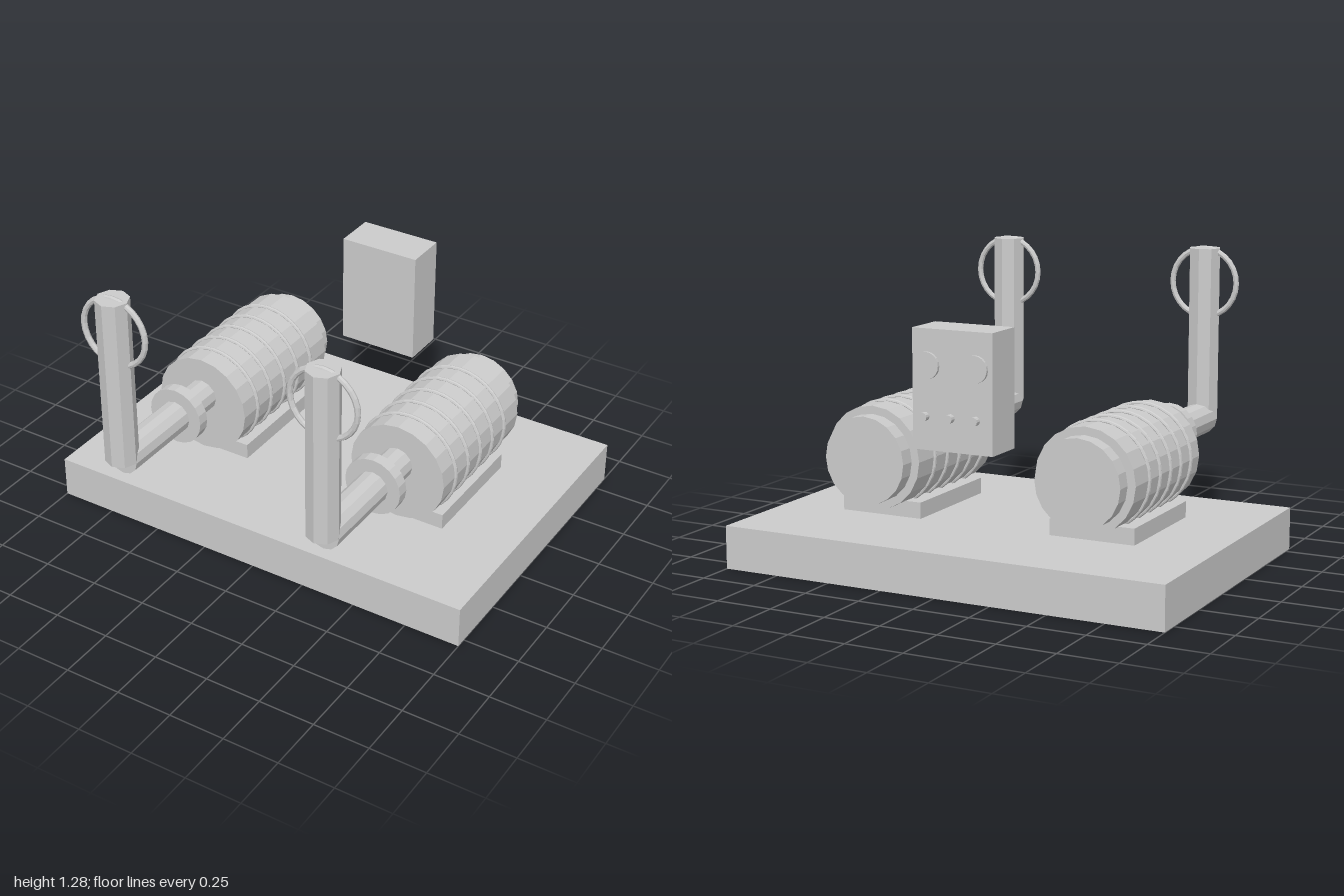
import * as THREE from 'three';

const material = new THREE.MeshStandardMaterial({ color: 0xcccccc, flatShading: true });

function add(parent, name, geometry, x, y, z) {
  const mesh = new THREE.Mesh(geometry, material);
  mesh.name = name;
  mesh.position.set(x, y, z);
  parent.add(mesh);
  return mesh;
}

// Box given by its lower and upper corners
function box(parent, name, [x0, y0, z0], [x1, y1, z1]) {
  return add(parent, name, new THREE.BoxGeometry(x1 - x0, y1 - y0, z1 - z0),
    (x0 + x1) / 2, (y0 + y1) / 2, (z0 + z1) / 2);
}

// Cylinder lying along z
function zCylinder(parent, name, radius, z0, z1, x, y, sides) {
  const geometry = new THREE.CylinderGeometry(radius, radius, z1 - z0, sides).rotateX(Math.PI / 2);
  return add(parent, name, geometry, x, y, (z0 + z1) / 2);
}

function createPump() {
  const pump = new THREE.Group();
  pump.name = 'pump';

  // Motor on its mounting foot
  box(pump, 'mountingFoot', [-0.19, 0.2, -0.41], [0.19, 0.27, 0.125]);
  zCylinder(pump, 'motorBody', 0.223, -0.475, 0.185, 0, 0.458, 20);
  zCylinder(pump, 'motorEndCap', 0.189, -0.548, -0.478, 0, 0.458, 20);
  for (let i = 0; i < 5; i++) {
    add(pump, 'coolingRib', new THREE.TorusGeometry(0.224, 0.009, 8, 32), 0, 0.458, -0.344 + i * 0.1075);
  }

  // Outlet pipe, flange and upright riser
  zCylinder(pump, 'outletPipe', 0.072, 0.185, 0.765, 0, 0.504, 12);
  zCylinder(pump, 'flange', 0.13, 0.335, 0.387, 0, 0.504, 20);
  add(pump, 'riserPipe', new THREE.CylinderGeometry(0.072, 0.072, 0.77, 8), 0, 0.89, 0.767);
  add(pump, 'handwheel', new THREE.TorusGeometry(0.152, 0.013, 8, 28), 0, 1.12, 0.766);
  return pump;
}

function createControlPanel() {
  const panel = new THREE.Group();
  panel.name = 'controlPanel';
  box(panel, 'panelBox', [-0.182, 0.564, -0.672], [0.182, 1.06, -0.484]);
  for (const x of [-0.11, 0.11]) zCylinder(panel, 'gauge', 0.056, -0.691, -0.678, x, 0.912, 20);
  for (const x of [-0.115, 0, 0.115]) zCylinder(panel, 'button', 0.018, -0.712, -0.686, x, 0.706, 12);
  return panel;
}

export function createModel() {
  const model = new THREE.Group();
  model.name = 'twinPumpSkid';
  box(model, 'basePlate', [-1, 0, -0.836], [1, 0.186, 0.546]);
  for (const x of [-0.493, 0.493]) {
    const pump = createPump();
    pump.position.x = x;
    model.add(pump);
  }
  model.add(createControlPanel());
  return model;
}
